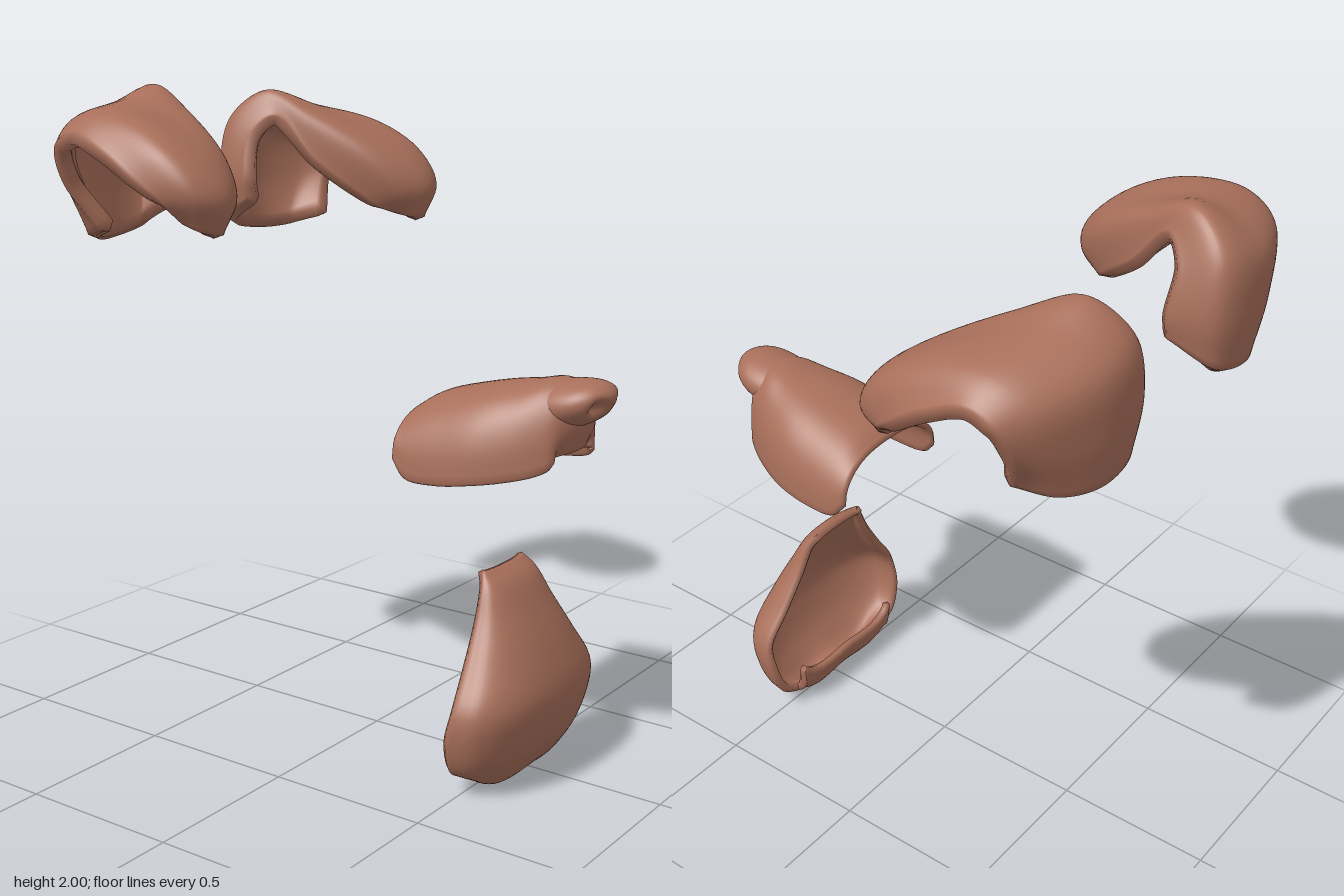
import * as THREE from 'three';
import { mergeVertices } from 'three/addons/utils/BufferGeometryUtils.js';

const clay = new THREE.MeshStandardMaterial({ color: 0xa86f5a });
clay.name = 'terracotta brown';

const V = (x, y, z) => new THREE.Vector3(x, y, z);
const spow = (v, p) => Math.sign(v) * Math.abs(v) ** p;

// Smooth surface through rows of control points, thickened inwards, with a rounded rim
function shell(rows, thick, m = 48, n = 40) {
  const across = rows.map(r => new THREE.CatmullRomCurve3(r));
  const pts = [], idx = [], columns = [];
  for (let j = 0; j <= n; j++) {
    columns.push(new THREE.CatmullRomCurve3(across.map(c => c.getPoint(j / n))));
  }
  const at = (i, j) => i * (n + 1) + j;
  for (let i = 0; i <= m; i++) {
    for (let j = 0; j <= n; j++) pts.push(...columns[j].getPoint(i / m).toArray());
  }
  for (let i = 0; i < m; i++) {
    for (let j = 0; j < n; j++) {
      const a = at(i, j), b = at(i, j + 1), c = at(i + 1, j), d = at(i + 1, j + 1);
      idx.push(a, c, b, b, c, d);
    }
  }
  const skin = new THREE.BufferGeometry();
  skin.setAttribute('position', new THREE.Float32BufferAttribute(pts, 3));
  skin.setIndex(idx);
  skin.computeVertexNormals();

  // inner skin
  const N = (m + 1) * (n + 1);
  const nor = skin.attributes.normal.array;
  const all = pts.concat(pts.map((v, k) => v - nor[k] * thick));
  const faces = idx.slice();
  for (let k = 0; k < idx.length; k += 3) {
    faces.push(idx[k] + N, idx[k + 2] + N, idx[k + 1] + N);
  }
  // rim, bulging at its middle
  const loop = [];
  for (let i = 0; i < m; i++) loop.push(at(i, 0));
  for (let j = 0; j < n; j++) loop.push(at(m, j));
  for (let i = m; i > 0; i--) loop.push(at(i, n));
  for (let j = n; j > 0; j--) loop.push(at(0, j));
  const L = loop.length;
  const point = k => V().fromArray(pts, loop[(k + L) % L] * 3);
  loop.forEach((p, k) => {
    const normal = V().fromArray(nor, p * 3);
    const out = point(k + 1).sub(point(k - 1)).cross(normal).normalize();
    const mid = point(k).addScaledVector(normal, -thick / 2).addScaledVector(out, thick * .4);
    all.push(mid.x, mid.y, mid.z);
    const q = loop[(k + 1) % L], u = 2 * N + k, w = 2 * N + (k + 1) % L;
    faces.push(q, p, u, q, u, w, w, u, p + N, w, p + N, q + N);
  });
  const geo = new THREE.BufferGeometry();
  geo.setAttribute('position', new THREE.Float32BufferAttribute(all, 3));
  geo.setIndex(faces);
  geo.computeVertexNormals();
  return geo;
}

function addMesh(group, name, geo) {
  const mesh = new THREE.Mesh(geo, clay);
  mesh.name = name;
  group.add(mesh);
  return mesh;
}

// Folded ear: back wall rises from the base, arches over and hangs forward.
// Each row runs from the inner edge to the outer edge.
const EAR = [
  [[.165, 1.61, -.645], [.21, 1.54, -.77], [.36, 1.51, -.79], [.48, 1.51, -.73], [.54, 1.53, -.62]],
  [[.155, 1.68, -.645], [.19, 1.70, -.78], [.36, 1.68, -.81], [.53, 1.66, -.75], [.62, 1.66, -.68]],
  [[.19, 1.82, -.645], [.22, 1.87, -.76], [.38, 1.85, -.785], [.57, 1.80, -.73], [.67, 1.77, -.66]],
  [[.24, 1.88, -.58], [.27, 1.96, -.64], [.41, 1.92, -.63], [.60, 1.865, -.62], [.68, 1.81, -.58]],
  [[.285, 1.74, -.46], [.30, 1.88, -.48], [.44, 1.87, -.44], [.61, 1.85, -.44], [.69, 1.76, -.46]],
  [[.34, 1.65, -.36], [.37, 1.75, -.29], [.50, 1.76, -.24], [.63, 1.76, -.28], [.685, 1.69, -.36]],
  [[.40, 1.59, -.29], [.43, 1.64, -.21], [.52, 1.65, -.165], [.615, 1.65, -.20], [.655, 1.63, -.29]],
  [[.46, 1.565, -.26], [.48, 1.555, -.22], [.52, 1.55, -.19], [.57, 1.555, -.22], [.59, 1.575, -.27]],
];

function earGeometry(side) {
  const rows = EAR.map(r => r.map(([x, y, z]) => side > 0
    ? V(x, y, z)
    : V(-x * 1.01 + .005, y + .035 + .1 * Math.max(0, x - .38), -.81 + (z + .81) * 1.05)));
  if (side < 0) rows.forEach(r => r.reverse());
  return shell(rows, .05);
}

// Muzzle: arched sections from the open back to the front lip
function muzzleGeometry() {
  const sections = [ // z, half width, top, bottom, how far the sides sweep back
    [.215, .23, 1.09, .95, 0], [.26, .24, 1.12, .905, 0], [.36, .24, 1.15, .90, 0],
    [.47, .23, 1.175, .915, 0], [.56, .20, 1.19, .93, 0], [.64, .16, 1.205, .95, 0],
    [.70, .13, 1.185, .97, .02], [.725, .11, 1.09, .985, .04], [.70, .10, 1.0, .98, .04],
  ];
  const rows = sections.map(([z, w, top, bottom, sweep]) => {
    const row = [];
    for (let k = 0; k <= 10; k++) {
      const t = Math.PI * (1 - k / 10), c = Math.cos(t);
      row.push(V(.005 + w * spow(c, .8), bottom + (top - bottom) * spow(Math.sin(t), .9), z - sweep * c * c));
    }
    return row;
  });
  return shell(rows, .02);
}

// Nose pad: sheared ellipsoid, drawn out at the back, with two nostril dents
function noseGeometry() {
  let geo = new THREE.SphereGeometry(1, 48, 36);
  geo.deleteAttribute('uv');
  geo.deleteAttribute('normal');
  geo = mergeVertices(geo);
  const p = geo.attributes.position;
  for (let i = 0; i < p.count; i++) {
    const x = p.getX(i), y = p.getY(i);
    let z = p.getZ(i);
    if (z > 0) {
      const dx = Math.abs(x) - .42, dy = y - .05;
      z -= .3 * Math.exp(-(dx * dx / .035 + dy * dy / .09));
    } else {
      z *= 1.5;
    }
    p.setXYZ(i, x * .112, y * .075, z * .115 + y * .05);
  }
  geo.computeVertexNormals();
  return geo;
}

// Jaw: cupped shield whose bottom edge curls under and back
function jawGeometry() {
  const sections = [ // y, half width, centre z, edge z
    [.635, .11, .49, .475], [.60, .135, .54, .49], [.51, .18, .595, .50], [.40, .25, .65, .51],
    [.28, .33, .688, .52], [.18, .335, .675, .50], [.08, .295, .635, .49],
    [-.005, .23, .56, .48], [.015, .22, .475, .455], [.10, .23, .435, .445],
  ];
  const rows = sections.map(([y, w, zc, ze], i) => {
    const row = [];
    for (let k = 0; k <= 10; k++) {
      const t = Math.PI * (k / 10 - .5), s = Math.sin(t);
      const lift = i > 6 ? .012 * Math.exp(-((k - 5) ** 2)) + .05 * s ** 4 : 0;
      row.push(V(-.028 + w * spow(s, .9), y + lift, ze + (zc - ze) * spow(Math.cos(t), .8)));
    }
    return row;
  });
  return shell(rows, .028);
}

export function createModel() {
  const model = new THREE.Group();
  model.name = 'animal face pieces';
  addMesh(model, 'leftEar', earGeometry(1));
  addMesh(model, 'rightEar', earGeometry(-1));
  const snout = new THREE.Group();
  snout.name = 'snout';
  addMesh(snout, 'muzzle', muzzleGeometry());
  addMesh(snout, 'nose', noseGeometry()).position.set(.005, 1.135, .685);
  model.add(snout);
  addMesh(model, 'jaw', jawGeometry());
  return model;
}
